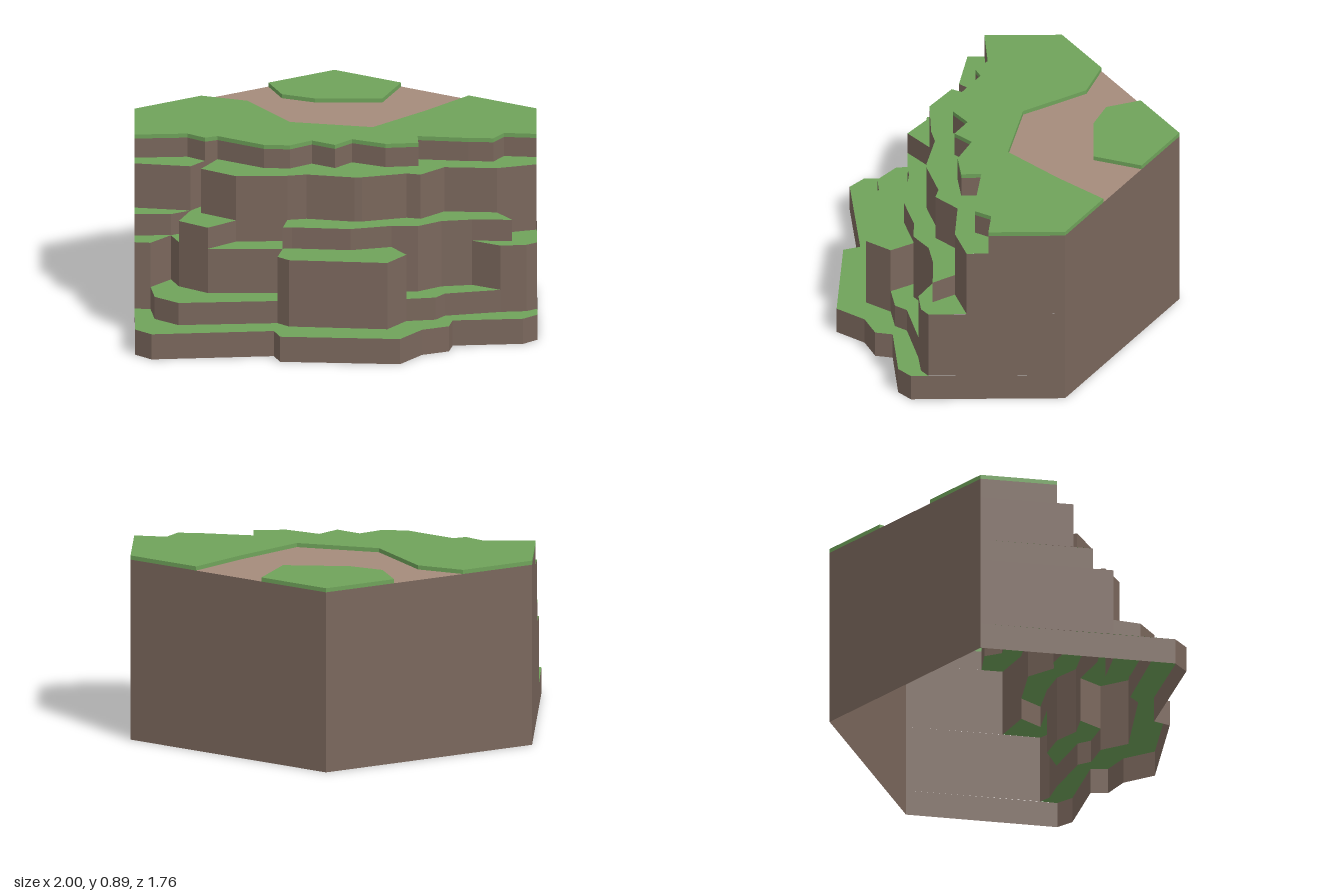
import * as THREE from 'three';

// Front edge of each rock step as x, z points, from right end of the model to its left.
// Neighbouring steps share points where their walls run flush.
const pairs = (a) => a.flatMap((v, i) => (i % 2 ? [] : [[v, a[i + 1]]]));

const step1 = pairs([-0.535, 0.86, -0.435, 0.88, 0.04, 0.555, 0.105, 0.61, 0.61, 0.36,
  0.635, 0.195, 0.72, 0.09, 0.695, 0.01, 0.97, -0.175, 1.0, -0.26]);
const step2 = pairs([-0.685, 0.605, -0.615, 0.575, -0.53, 0.685, -0.39, 0.705, 0, 0.45,
  0.07, 0.465, 0.49, 0.27, 0.51, 0.125, 0.62, 0.04, 0.63, -0.03,
  0.83, -0.205, 0.93, -0.275, 0.957, -0.33]);
const step3 = pairs([-0.685, 0.605, -0.615, 0.575, -0.585, 0.435, -0.505, 0.5, -0.34, 0.515,
  -0.035, 0.34, 0, 0.45, 0.07, 0.465, 0.49, 0.27, 0.51, 0.125, 0.395, 0.065, 0.505, 0.005,
  0.565, -0.11, 0.68, -0.2, 0.83, -0.205, 0.93, -0.275, 0.957, -0.33]);
const step4 = pairs([-0.732, 0.52, -0.585, 0.435, -0.53, 0.345, -0.505, 0.5, -0.34, 0.515,
  -0.275, 0.36, -0.07, 0.235, -0.035, 0.34, 0, 0.315, 0.25, 0.2, 0.395, 0.065,
  0.505, 0.005, 0.565, -0.11, 0.68, -0.2, 0.845, -0.29, 0.73, -0.345, 0.866, -0.485]);
const step5 = pairs([-0.78, 0.44, -0.53, 0.345, -0.51, 0.245, -0.47, 0.195, -0.47, 0.35,
  -0.275, 0.36, -0.07, 0.235, 0, 0.175, 0.215, 0.1, 0.245, 0.08, 0.4, -0.07,
  0.465, -0.09, 0.51, -0.235, 0.73, -0.345, 0.866, -0.485]);
const step6 = pairs([-0.818, 0.37, -0.61, 0.235, -0.51, 0.245, -0.47, 0.195, -0.22, 0.195,
  -0.11, 0.14, -0.055, 0.03, 0.07, 0.03, 0.1, -0.08, 0.27, -0.1, 0.395, -0.19,
  0.345, -0.27, 0.565, -0.365, 0.67, -0.42, 0.675, -0.51, 0.815, -0.573]);

const steps = [step1, step2, step3, step4, step5, step6];
const heights = [0, 0.125, 0.235, 0.455, 0.56, 0.78, 0.875];
const TOP = 0.895;

// Remaining corners of the hexagon, and the two banks of the path
const backRight = [0.635, -0.885], backLeft = [-0.455, -0.885], leftCorner = [-1, 0.055];
const outerBank = pairs([0.27, -0.885, 0.2, -0.6, 0.1, -0.275, -0.275, -0.145,
  -0.595, -0.305, -0.818, -0.26]);
const innerBank = pairs([-0.635, -0.575, -0.5, -0.465, -0.335, -0.49, -0.06, -0.645,
  -0.095, -0.885]);

const material = (color) => new THREE.MeshStandardMaterial({
  color, side: THREE.DoubleSide, flatShading: true });

// Vertical band around a closed outline
function wall(outline, y0, y1) {
  const position = [];
  outline.forEach(([ax, az], i) => {
    const [bx, bz] = outline[(i + 1) % outline.length];
    position.push(ax, y0, az, bx, y0, bz, bx, y1, bz, ax, y0, az, bx, y1, bz, ax, y1, az);
  });
  const geometry = new THREE.BufferGeometry();
  geometry.setAttribute('position', new THREE.Float32BufferAttribute(position, 3));
  geometry.computeVertexNormals();
  return geometry;
}

// Flat upward face inside an outline
function cap(outline, y) {
  const shape = new THREE.Shape(outline.map(([x, z]) => new THREE.Vector2(x, -z)));
  return new THREE.ShapeGeometry(shape).rotateX(-Math.PI / 2).translate(0, y, 0);
}

// Areas between two step edges, split wherever the edges meet
function ledges(lower, upper) {
  const areas = [];
  let i0 = 0, j0 = 0;
  const close = (i1, j1) => {
    const out = lower.slice(i0, i1 + 1);
    const back = upper.slice(j0, j1 + 1).reverse();
    const area = [...out, ...back].filter((p, k, all) =>
      all.findIndex((q) => q[0] === p[0] && q[1] === p[1]) === k);
    if (area.length > 2) areas.push(area);
    i0 = i1;
    j0 = j1;
  };
  lower.forEach(([x, z], i) => {
    const j = upper.findIndex((q) => q[0] === x && q[1] === z);
    if (j >= 0) close(i, j);
  });
  close(lower.length - 1, upper.length - 1);
  return areas;
}

export function createModel() {
  const model = new THREE.Group();
  model.name = 'cliffTile';
  const rock = material(0x7a675c), grass = material(0x6fa35a), dirt = material(0xa58b7b);
  const add = (name, geometry, mat) => {
    const mesh = new THREE.Mesh(geometry, mat);
    mesh.name = name;
    model.add(mesh);
  };

  // Stepped rock walls with grassy ledges; the underside stays open
  steps.forEach((edge, i) => {
    add(`rockStep${i + 1}`,
      wall([...edge, backRight, backLeft, leftCorner], heights[i], heights[i + 1]), rock);
    if (i < 5) {
      ledges(edge, steps[i + 1]).forEach((area) =>
        add(`grassLedge${i + 1}`, cap(area, heights[i + 1]), grass));
    }
  });

  // Sunken path across the plateau
  add('path', cap([...outerBank, ...innerBank], heights[6]), dirt);

  // Raised turf on both sides of the path
  const meadow = [...step6, backRight, ...outerBank, leftCorner];
  const corner = [...innerBank, backLeft];
  [['meadow', meadow], ['cornerTurf', corner]].forEach(([name, outline]) => {
    add(`${name}Rim`, wall(outline, heights[6], TOP), grass);
    add(`${name}Top`, cap(outline, TOP), grass);
  });
  return model;
}
